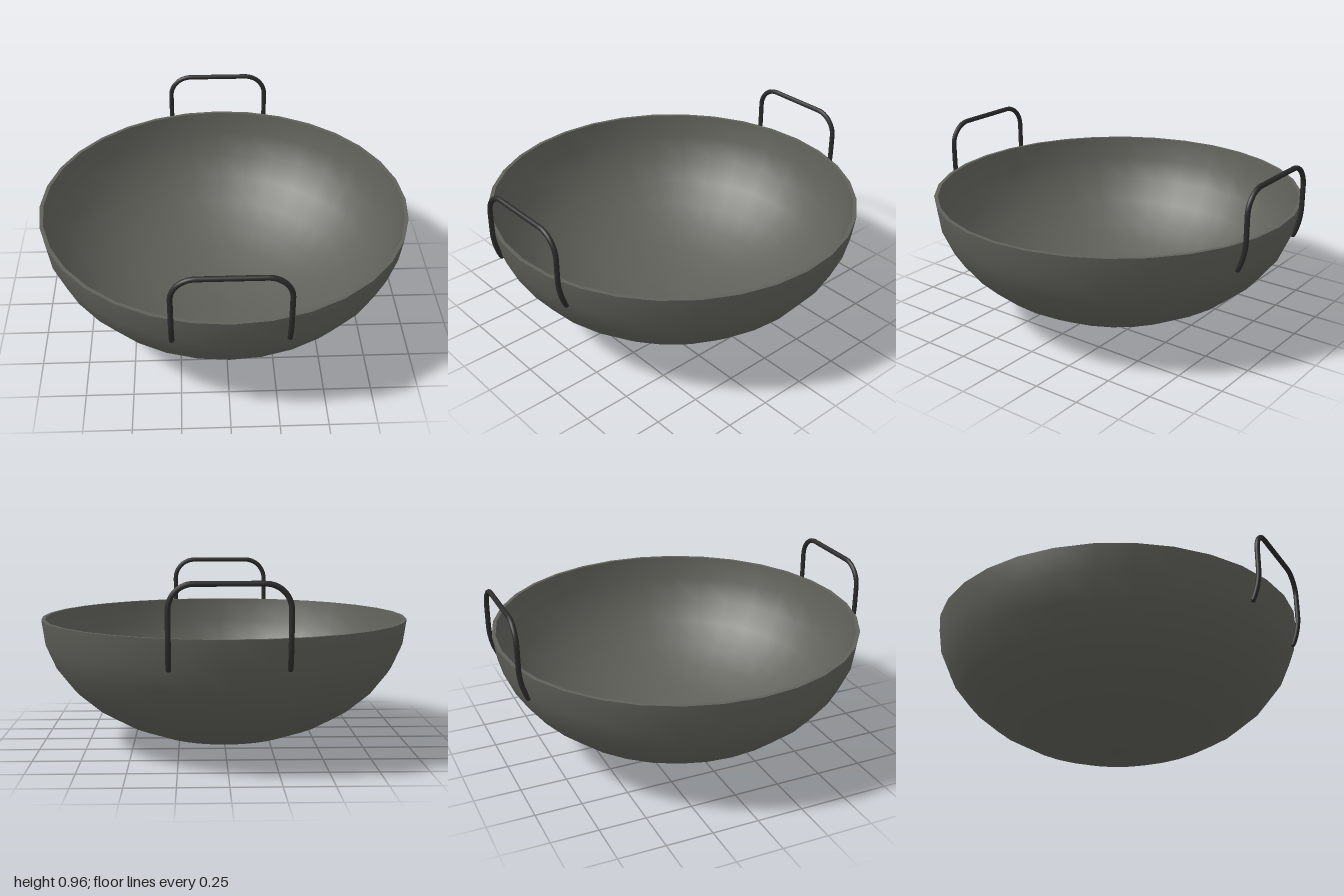
import * as THREE from 'three';

const SIDES = 32;
const DEPTH = 0.695;
const WALL = 0.02;

export function createModel() {
  const iron = new THREE.MeshStandardMaterial({ color: 0x60605a });
  iron.name = 'grey iron';
  const black = new THREE.MeshStandardMaterial({ color: 0x2b2b2b });
  black.name = 'black iron';

  const model = new THREE.Group();
  model.name = 'wok';

  // Half-ellipse profile from the bottom centre up to the rim
  const profile = (inset) => Array.from({ length: 9 }, (_, i) => {
    const a = (i / 8) * Math.PI / 2;
    return new THREE.Vector2(
      (1 - inset) * Math.sin(a),
      DEPTH - (DEPTH - inset) * Math.cos(a),
    );
  });

  // Bowl: outside, inside and the flat rim joining them
  const bowl = new THREE.Group();
  bowl.name = 'bowl';
  const outer = profile(0);
  const inner = profile(WALL).reverse();
  const turn = (name, points) => {
    const mesh = new THREE.Mesh(new THREE.LatheGeometry(points, SIDES), iron);
    mesh.name = name;
    bowl.add(mesh);
  };
  turn('bowlOutside', outer);
  turn('bowlRim', [outer[8], inner[0]]);
  turn('bowlInside', inner);
  model.add(bowl);

  // Handle path: foot hugging the bowl, upright, rounded corner, grip, and back down
  const X = 0.285, Z = 0.973, TOP = 0.95, R = 0.12, K = R * 0.45;
  const v = (x, y, z = Z) => new THREE.Vector3(x, y, z);
  const foot = v(-X, 0.547, 0.934);
  const half = [
    [foot, v(-X, 0.6, 0.96), v(-X, 0.66), v(-X, 0.72)],
    [v(-X, 0.72), v(-X, TOP - R)],
    [v(-X, TOP - R), v(-X, TOP - K), v(-X + K, TOP), v(-X + R, TOP)],
  ];
  const flip = (p) => v(-p.x, p.y, p.z);
  const pieces = [
    ...half,
    [v(-X + R, TOP), v(X - R, TOP)],
    ...half.map((piece) => piece.map(flip).reverse()).reverse(),
  ];
  const path = new THREE.CurvePath();
  for (const p of pieces) {
    path.add(p.length === 2 ? new THREE.LineCurve3(...p) : new THREE.CubicBezierCurve3(...p));
  }

  const radius = 0.0135;
  const rod = new THREE.TubeGeometry(path, 80, radius, 10, false);
  const tip = new THREE.SphereGeometry(radius, 10, 8);

  // Two matching handles, front and back
  for (const [name, angle] of [['frontHandle', 0], ['backHandle', Math.PI]]) {
    const handle = new THREE.Group();
    handle.name = name;
    const bar = new THREE.Mesh(rod, black);
    bar.name = 'handleBar';
    handle.add(bar);
    for (const end of [foot, flip(foot)]) {
      const cap = new THREE.Mesh(tip, black);
      cap.name = 'handleTip';
      cap.position.copy(end);
      handle.add(cap);
    }
    handle.rotation.y = angle;
    model.add(handle);
  }
  return model;
}
